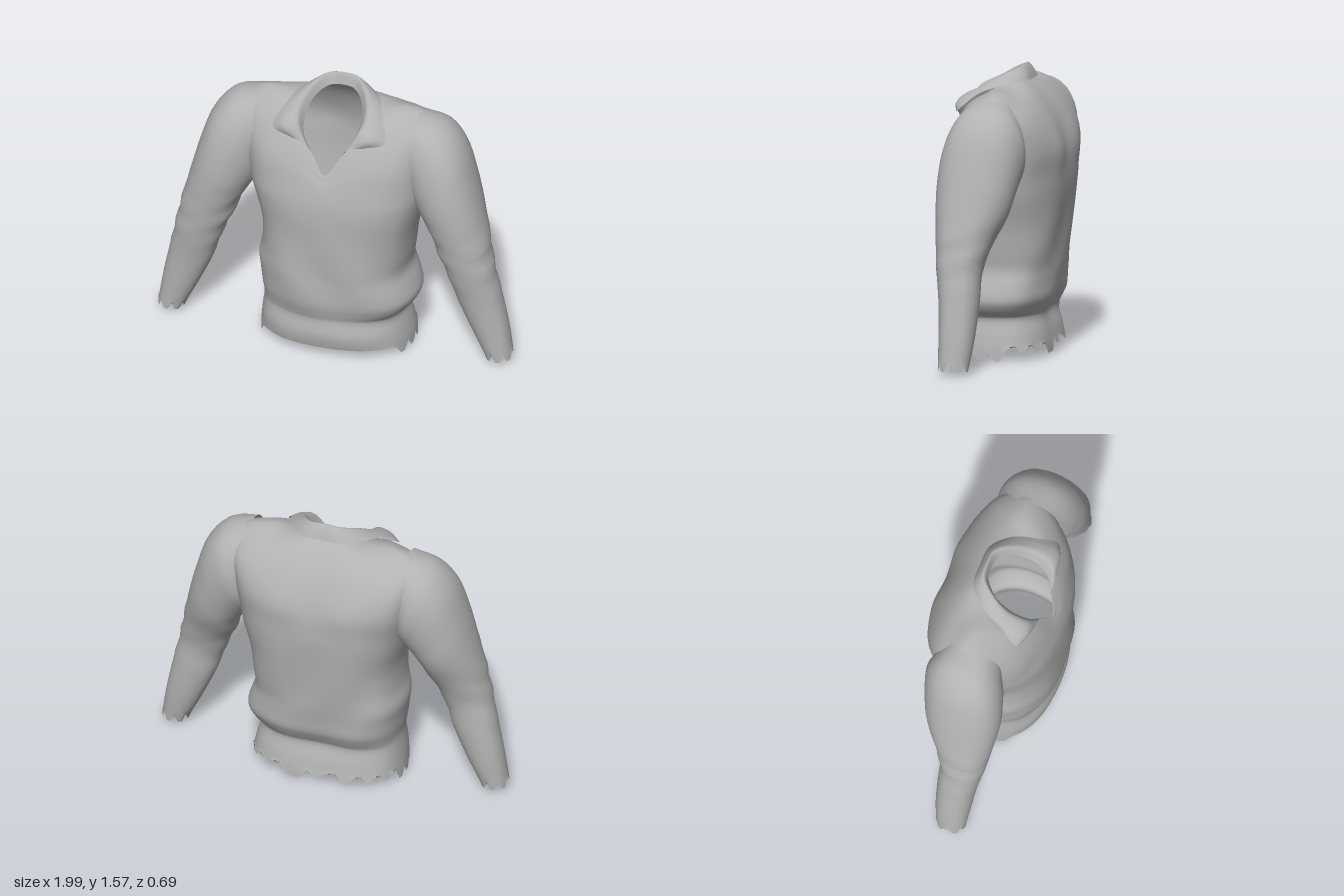
import * as THREE from 'three';

const fabric = new THREE.MeshStandardMaterial({ color: 0xb2b2b2, side: THREE.DoubleSide });
fabric.name = 'grey fabric';
const V = (p) => new THREE.Vector3(...p);

// Smooth surface through rows of points; tweak may move each finished vertex
function loft(name, rows, closed, segs, subs, tweak) {
  const lines = rows.map((r) => {
    const c = new THREE.CatmullRomCurve3(r.map(V), closed, 'centripetal');
    const n = closed ? segs : segs + 1;
    return Array.from({ length: n }, (_, i) => c.getPoint(i / segs));
  });
  const n = lines[0].length;
  const m = (rows.length - 1) * subs;
  const pos = new Float32Array((m + 1) * n * 3);
  for (let i = 0; i < n; i++) {
    const c = new THREE.CatmullRomCurve3(lines.map((l) => l[i]), false, 'centripetal');
    for (let j = 0; j <= m; j++) {
      const p = c.getPoint(j / m);
      if (tweak) tweak(p, i, j, m);
      p.toArray(pos, (j * n + i) * 3);
    }
  }
  const index = [];
  for (let j = 0; j < m; j++) {
    for (let i = 0; i < segs; i++) {
      const a = j * n + i, b = j * n + ((i + 1) % n);
      index.push(a, b, a + n, b, b + n, a + n);
    }
  }
  const g = new THREE.BufferGeometry();
  g.setAttribute('position', new THREE.BufferAttribute(pos, 3));
  g.setIndex(index);
  g.computeVertexNormals();
  const mesh = new THREE.Mesh(g, fabric);
  mesh.name = name;
  return mesh;
}

// Full ring from a half ring running front centre -> left side -> back centre
const mirrorRing = (h) => [...h, ...h.slice(1, -1).reverse().map(([x, y, z]) => [-x, y, z])];

// Horizontal body ring: height, left and right half widths, front and back z
function bodyRing([y, left, right, front, back]) {
  return Array.from({ length: 12 }, (_, i) => {
    const a = (i * Math.PI) / 6, s = Math.sin(a), c = Math.cos(a);
    const x = Math.sign(s) * Math.abs(s) ** 0.85 * (s > 0 ? left : right);
    const z = Math.abs(c) ** 0.78 * (c > 0 ? front : back);
    return [x, y, i === 6 ? z + 0.015 : z];
  });
}

function torso() {
  const rows = [
    [0.06, 0.43, 0.42, 0.32, -0.28],
    [0.15, 0.41, 0.41, 0.335, -0.26],
    [0.24, 0.39, 0.40, 0.32, -0.235],
    [0.28, 0.43, 0.40, 0.33, -0.255],
    [0.34, 0.46, 0.41, 0.345, -0.285],
    [0.42, 0.44, 0.42, 0.35, -0.295],
    [0.50, 0.41, 0.43, 0.35, -0.305],
    [0.60, 0.42, 0.41, 0.35, -0.315],
    [0.75, 0.44, 0.41, 0.35, -0.33],
    [0.90, 0.48, 0.45, 0.35, -0.345],
    [1.00, 0.50, 0.48, 0.34, -0.35],
  ].map(bodyRing);
  // chest, yoke, shoulder ridge and neck opening
  rows.push(...[
    [[0, 1.09, 0.315], [0.2, 1.15, 0.29], [0.4, 1.17, 0.22], [0.53, 1.2, 0.02],
      [0.45, 1.17, -0.24], [0.2, 1.15, -0.335], [0, 1.14, -0.325]],
    [[0, 1.12, 0.3], [0.17, 1.25, 0.255], [0.38, 1.32, 0.17], [0.53, 1.41, -0.02],
      [0.46, 1.34, -0.2], [0.2, 1.32, -0.265], [0, 1.31, -0.265]],
    [[0, 1.135, 0.295], [0.13, 1.31, 0.22], [0.28, 1.4, 0.14], [0.36, 1.475, -0.02],
      [0.3, 1.45, -0.11], [0.16, 1.44, -0.17], [0, 1.43, -0.18]],
    [[0, 1.15, 0.285], [0.07, 1.24, 0.25], [0.14, 1.35, 0.19], [0.158, 1.42, 0.1],
      [0.13, 1.48, 0.01], [0.07, 1.51, -0.06], [0, 1.515, -0.075]],
  ].map(mirrorRing));
  return loft('torso', rows, true, 72, 4, (p, i, j) => {
    // torn hem: straight in front, low at the sides, jagged behind
    if (j === 0) {
      if (p.z > 0.2) p.y = 0.07;
      else if (p.z > -0.08) p.y = 0.015 + 0.045 * (i % 3 === 0);
      else p.y = p.x > 0.06 && p.x < 0.2 ? 0.03 : 0.06 + 0.035 * (i % 4 > 1);
    }
    // soft folds around the lower body
    const fade = Math.max(0, 1 - Math.abs(p.y - 0.5) / 0.4);
    p.z += 0.008 * fade * Math.sin(p.x * 16 + p.y * 9);
  });
}

// Sleeve rings: outer x, y, inner x, y, front z, back z
const SLEEVE = [
  [0.45, 1.455, 0.42, 1.02, 0.16, -0.19],
  [0.60, 1.41, 0.43, 0.95, 0.20, -0.23],
  [0.70, 1.30, 0.46, 0.90, 0.22, -0.22],
  [0.765, 1.12, 0.49, 0.86, 0.23, -0.20],
  [0.81, 0.95, 0.535, 0.78, 0.225, -0.17],
  [0.86, 0.75, 0.58, 0.67, 0.21, -0.10],
  [0.89, 0.60, 0.64, 0.53, 0.195, -0.055],
  [0.93, 0.42, 0.69, 0.38, 0.17, -0.05],
  [0.97, 0.22, 0.77, 0.20, 0.155, -0.04],
  [0.995, 0.05, 0.85, 0.04, 0.145, -0.02],
];

function sleeve(name, side) {
  const rows = SLEEVE.map(([ox, oy, ix, iy, f, b]) =>
    Array.from({ length: 12 }, (_, i) => {
      const a = (i * Math.PI) / 6;
      const c = Math.cos(a), s = Math.sign(Math.sin(a)) * Math.abs(Math.sin(a)) ** 0.85;
      return [
        side * ((ox + ix) / 2 + (c * (ox - ix)) / 2),
        (oy + iy) / 2 + (c * (oy - iy)) / 2,
        (f + b) / 2 + (s * (f - b)) / 2,
      ];
    }));
  return loft(name, rows, true, 36, 4, (p, i, j, m) => {
    // creases at the elbow and a frayed cuff
    const fade = Math.max(0, 1 - Math.abs(p.y - 0.65) / 0.3);
    p.x += side * 0.006 * fade * Math.sin(p.y * 42 + p.z * 12);
    if (j === m) p.y += i % 5 < 2 ? 0.025 : -0.008;
  });
}

function collar() {
  // half rows from back centre to the front point: inner edge, fold, fall, outer edge
  const half = [
    [[0, 1.515, -0.07], [0.07, 1.51, -0.055], [0.13, 1.475, 0.01],
      [0.155, 1.42, 0.1], [0.14, 1.35, 0.195], [0.085, 1.26, 0.245]],
    [[0, 1.582, -0.09], [0.08, 1.572, -0.08], [0.15, 1.535, 0],
      [0.187, 1.475, 0.1], [0.175, 1.41, 0.215], [0.115, 1.31, 0.25]],
    [[0, 1.54, -0.12], [0.105, 1.54, -0.105], [0.19, 1.515, -0.02],
      [0.235, 1.463, 0.11], [0.25, 1.395, 0.225], [0.16, 1.33, 0.25]],
    [[0, 1.5, -0.135], [0.12, 1.5, -0.125], [0.22, 1.49, -0.03],
      [0.275, 1.445, 0.1], [0.315, 1.36, 0.2], [0.2, 1.33, 0.237]],
  ];
  const rows = half.map((h) => [...h.slice(1).reverse().map(([x, y, z]) => [-x, y, z]), ...h]);
  return loft('collar', rows, false, 50, 4);
}

export function createModel() {
  const shirt = new THREE.Group();
  shirt.name = 'shirt';
  shirt.add(torso(), sleeve('leftSleeve', 1), sleeve('rightSleeve', -1), collar());
  return shirt;
}
